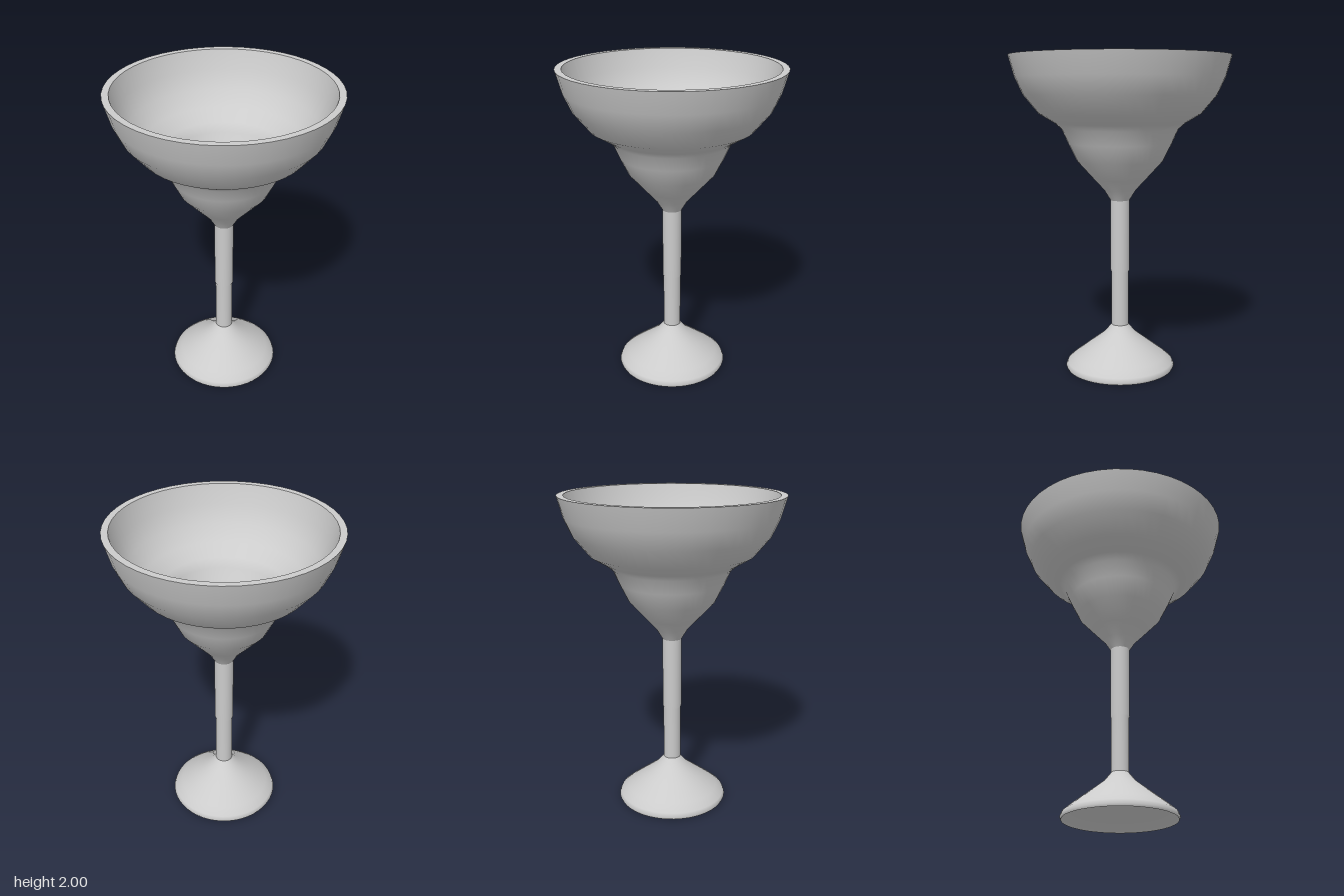
import * as THREE from 'three';

const material = new THREE.MeshStandardMaterial({ color: 0xcccccc });

// Turn a [radius, height] profile around the y axis
function turned(name, profile) {
  const points = profile.map(([r, y]) => new THREE.Vector2(r, y));
  const mesh = new THREE.Mesh(new THREE.LatheGeometry(points, 48), material);
  mesh.name = name;
  return mesh;
}

export function createModel() {
  const glass = new THREE.Group();
  glass.name = 'stemmedGlass';

  // Flared foot, hollow below
  glass.add(turned('footTop', [
    [0.345, 0], [0.352, 0.015], [0.342, 0.04], [0.295, 0.08],
    [0.2, 0.153], [0.1, 0.23], [0.055, 0.285],
  ]));
  glass.add(turned('footUnderside', [
    [0, 0.23], [0.06, 0.21], [0.18, 0.125], [0.28, 0.055], [0.33, 0.015], [0.345, 0],
  ]));

  // Stem, slightly thicker in its upper half
  glass.add(turned('stem', [
    [0.055, 0.285], [0.055, 0.635], [0.06, 0.645], [0.06, 1.1],
  ]));

  // Outer wall: narrow cup that steps out into a wide bowl
  glass.add(turned('bowlOutside', [
    [0.06, 1.1], [0.1, 1.165], [0.165, 1.235], [0.27, 1.35], [0.325, 1.46],
    [0.365, 1.55], [0.405, 1.585], [0.505, 1.645], [0.6, 1.76],
    [0.65, 1.87], [0.686, 2],
  ]));
  glass.add(turned('rim', [[0.686, 2], [0.645, 2]]));

  // Inner wall, from the rim down to the bottom of the cup
  glass.add(turned('bowlInside', [
    [0.645, 2], [0.61, 1.88], [0.555, 1.77], [0.47, 1.68], [0.375, 1.62],
    [0.335, 1.57], [0.25, 1.38], [0.15, 1.275], [0.065, 1.2], [0, 1.19],
  ]));

  return glass;
}
